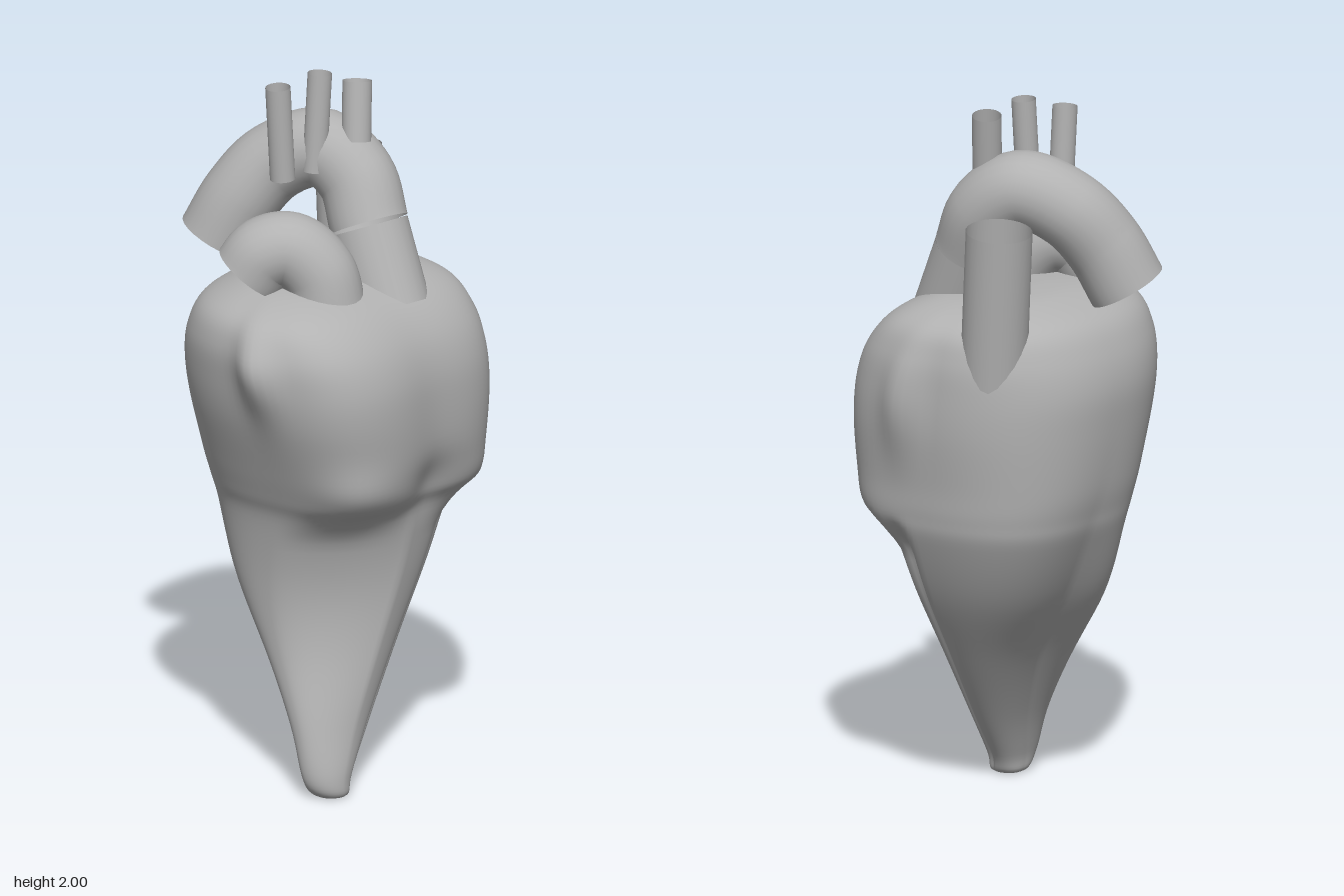
import * as THREE from 'three';

const tissue = new THREE.MeshStandardMaterial({ color: 0xb2b2b2, side: THREE.DoubleSide });
tissue.name = 'grey tissue';

const bump = (v, centre, width) => Math.exp(-(((v - centre) / width) ** 2));

// Cross-sections from apex to crown: y, left x, right x, widest z, back z, front z
const SECTIONS = [
  [0.0, -0.155, -0.155, 0.19, 0.19, 0.19],
  [0.005, -0.205, -0.11, 0.19, 0.14, 0.235],
  [0.06, -0.235, -0.08, 0.175, 0.125, 0.24],
  [0.2, -0.23, 0.02, 0.16, 0.075, 0.235],
  [0.4, -0.215, 0.155, 0.13, -0.025, 0.25],
  [0.6, -0.22, 0.28, 0.11, -0.16, 0.28],
  [0.78, -0.245, 0.36, 0.1, -0.252, 0.32],
  [0.86, -0.275, 0.378, 0.09, -0.28, 0.38],
  [0.95, -0.31, 0.385, 0.075, -0.302, 0.4],
  [1.1, -0.365, 0.4, 0.06, -0.322, 0.41],
  [1.22, -0.39, 0.4, 0.05, -0.328, 0.4],
  [1.32, -0.395, 0.39, 0.04, -0.305, 0.36],
  [1.4, -0.36, 0.355, 0.03, -0.255, 0.285],
  [1.45, -0.25, 0.25, 0.02, -0.15, 0.18],
  [1.465, -0.1, 0.1, 0.02, -0.06, 0.08],
  [1.467, 0, 0, 0.02, 0.02, 0.02],
];

function bodyGeometry() {
  const widths = new THREE.CatmullRomCurve3(
    SECTIONS.map(s => new THREE.Vector3(s[0], s[1], s[2])), false, 'catmullrom');
  const depths = new THREE.CatmullRomCurve3(
    SECTIONS.map(s => new THREE.Vector3(s[3], s[4], s[5])), false, 'catmullrom');
  const rows = 90, cols = 96, pos = [], index = [];

  for (let i = 0; i <= rows; i++) {
    const { x: y, y: xl, z: xr } = widths.getPoint(i / rows);
    const { x: zc, y: zb, z: zf } = depths.getPoint(i / rows);
    const cx = (xl + xr) / 2, rx = (xr - xl) / 2;
    const lower = THREE.MathUtils.smoothstep(0.86 - y, 0, 0.14);
    for (let j = 0; j < cols; j++) {
      const a = j / cols * Math.PI * 2, c = Math.cos(a), s = Math.sin(a);
      // Front of the upper half is squarer than the rest
      const n = s > 0 ? THREE.MathUtils.lerp(3.3 + 0.3 * c, 2, lower)
        : 2.25 + 0.3 * bump(y, 0.75, 0.3);
      let k = Math.pow(Math.abs(c) ** n + Math.abs(s) ** n, -1 / n);
      // Hollow between the two front lobes
      k *= 1 - bump(a, 1.47, 0.32) * (0.06 * bump(y, 1.0, 0.4) + 0.12 * bump(y, 0.87, 0.08));
      // Overhanging corner of the right lobe
      k *= 1 + 0.07 * bump(a, 2.3, 0.3) * bump(y, 0.9, 0.08);
      // Long grooves below the left lobe
      k *= 1 - lower * (0.13 * bump(a, 0.35, 0.13) + 0.09 * bump(a, 0.85, 0.14));
      // Ear-like swellings on both sides
      k *= 1 + 0.13 * bump(a, Math.PI - 0.22, 0.17) * bump(y, 1.27, 0.12)
             + 0.09 * bump(a, 0.2, 0.17) * bump(y, 1.2, 0.16);
      // The right flank of the lower half sweeps backwards
      const sweep = 0.1 * bump(y, 0.53, 0.3) * Math.min(0, c);
      pos.push(cx + rx * k * c, Math.max(0, y), zc + (s > 0 ? zf - zc : zc - zb) * k * s + sweep);
      if (i < rows) {
        const p = i * cols + j, q = i * cols + (j + 1) % cols;
        index.push(p, p + cols, q, q, p + cols, q + cols);
      }
    }
  }
  const g = new THREE.BufferGeometry();
  g.setAttribute('position', new THREE.Float32BufferAttribute(pos, 3));
  g.setIndex(index);
  g.computeVertexNormals();
  return g;
}

export function createModel() {
  const group = new THREE.Group();
  const add = (name, geometry) => {
    const mesh = new THREE.Mesh(geometry, tissue);
    mesh.name = name;
    group.add(mesh);
  };
  // Open-ended vessel following a few points
  const vessel = (name, radius, points) => {
    const path = new THREE.CatmullRomCurve3(points.map(p => new THREE.Vector3(...p)));
    add(name, new THREE.TubeGeometry(path, points.length > 2 ? 40 : 4, radius, 24));
  };

  add('heartBody', bodyGeometry());

  // Great vessels
  vessel('aortaRoot', 0.113, [[0.09, 1.35, 0.193], [0.105, 1.565, 0.1]]);
  vessel('aortaArch', 0.11, [
    [0.11, 1.57, 0.1], [0.125, 1.69, 0.04], [0.1, 1.76, -0.06],
    [0.04, 1.71, -0.18], [-0.02, 1.61, -0.25], [-0.06, 1.49, -0.303],
  ]);
  vessel('pulmonaryArtery', 0.105, [
    [-0.11, 1.38, 0.14], [-0.12, 1.49, 0.11], [-0.16, 1.553, 0.045],
    [-0.205, 1.54, -0.01], [-0.23, 1.485, -0.045],
  ]);
  vessel('venaCava', 0.093, [[0.277, 1.25, -0.097], [0.306, 1.7, -0.14]]);

  // Three branches above the arch
  vessel('rightBranch', 0.035, [[-0.04, 1.7, -0.085], [-0.058, 1.97, -0.087]]);
  vessel('middleBranch', 0.034, [[0.025, 1.72, -0.025], [0.042, 2.0, -0.02]]);
  vessel('leftBranch', 0.041, [[0.115, 1.8, 0.05], [0.14, 1.965, 0.032]]);

  return group;
}
